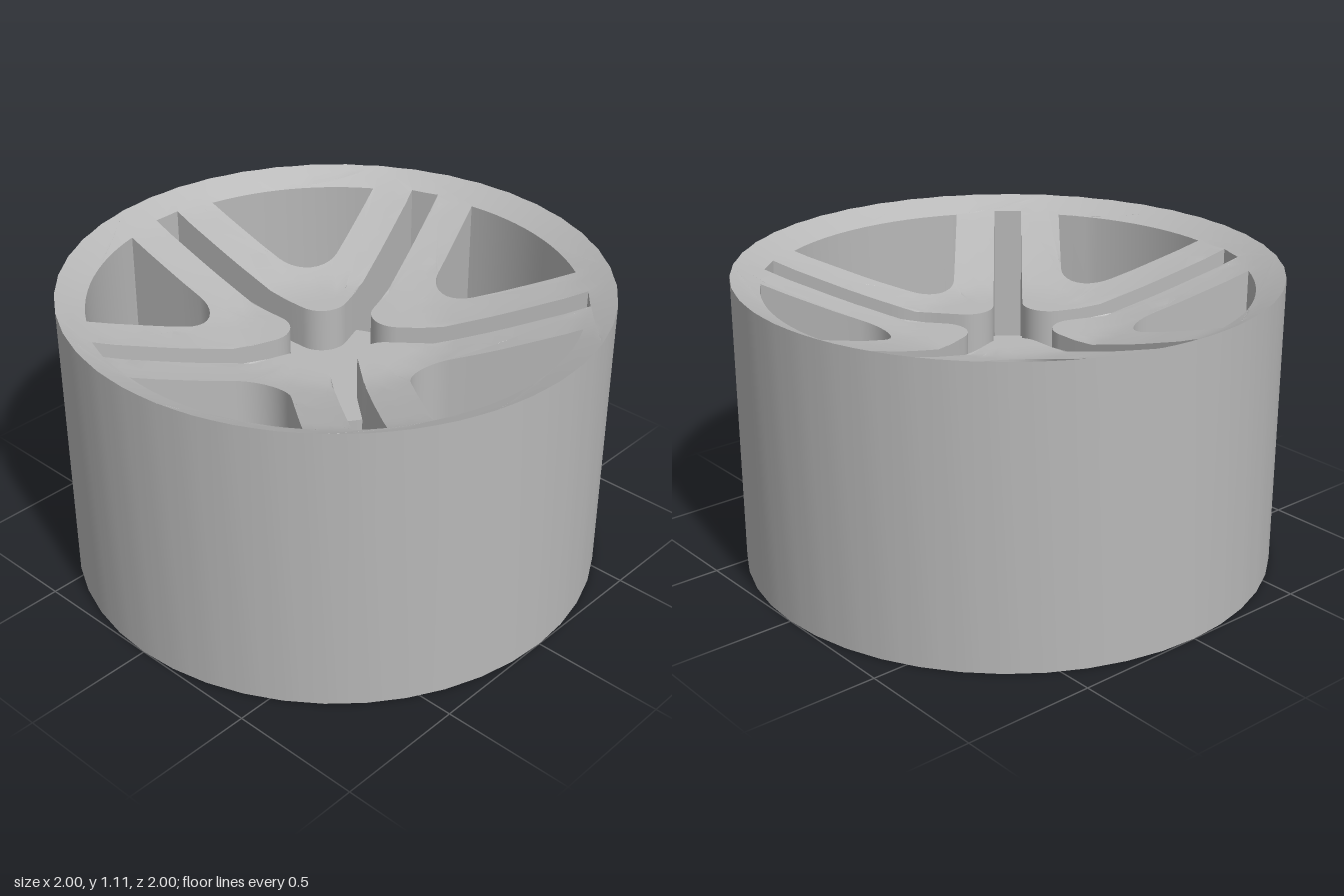
import * as THREE from 'three';
import { toCreasedNormals } from 'three/addons/utils/BufferGeometryUtils.js';

const rad = THREE.MathUtils.degToRad;

// Height of the dished face at each radius
const DISH = [[0, 0.89], [0.37, 0.89], [0.6, 0.955], [0.88, 1.047], [1, 1.108]];
const WINDOW_EDGE = 0.21;  // window side, measured from the slot axis
const WINDOW_R = 0.895;
const SLOT_HALF = 0.055;
const SLOT_END = 0.905;
const HUB_R = 0.33;
const HUB_TOP = 0.72;

// Gaps between the five slots: [middle angle, half angle]
const GAPS = [[0, 40], [75, 35], [145, 35], [215, 35], [285, 35]]
  .map(([m, h]) => [rad(m), rad(h)]);

function dishHeight(r) {
  for (let i = 1; i < DISH.length; i++) {
    const [r0, y0] = DISH[i - 1], [r1, y1] = DISH[i];
    if (r <= r1) return y0 + (y1 - y0) * (r - r0) / (r1 - r0);
  }
  return DISH[DISH.length - 1][1];
}

function arc(cx, radius, from, to, steps) {
  const points = [];
  for (let i = 0; i <= steps; i++) {
    const a = from + (to - from) * i / steps;
    points.push(new THREE.Vector2(cx + radius * Math.cos(a), radius * Math.sin(a)));
  }
  return points;
}

const turn = (points, angle) => points.map(p => p.rotateAround(new THREE.Vector2(), angle));

// Rounded corner between two lines offset from the slot axes on either side of a gap
function fillet(offset, radius, half) {
  return arc((offset + radius) / Math.sin(half), radius,
    Math.PI / 2 + half, Math.PI * 1.5 - half, 10);
}

// Large opening between two spoke pairs
function windowOutline([middle, half]) {
  const a = half - Math.asin(WINDOW_EDGE / WINDOW_R);
  return turn([...arc(0, WINDOW_R, -a, a, 12), ...fillet(WINDOW_EDGE, 0.14, half)], middle);
}

// Five narrow slots that meet in the middle
function starOutline() {
  return GAPS.flatMap(([middle, half]) => [
    ...turn([new THREE.Vector2(SLOT_END, -SLOT_HALF),
      new THREE.Vector2(SLOT_END, SLOT_HALF)], middle - half),
    ...turn(fillet(SLOT_HALF, 0.1, half).reverse(), middle),
  ]);
}

// Split triangles until every edge is short in plan, so the face can be bent
function subdivide(geometry, limit) {
  const p = geometry.attributes.position;
  const out = [];
  const stack = [];
  for (let i = 0; i < p.count; i += 3) {
    stack.push([0, 1, 2].map(k => new THREE.Vector3().fromBufferAttribute(p, i + k)));
  }
  while (stack.length) {
    const t = stack.pop();
    const lengths = t.map((v, k) => Math.hypot(v.x - t[(k + 1) % 3].x, v.y - t[(k + 1) % 3].y));
    const longest = Math.max(...lengths);
    if (longest <= limit) {
      t.forEach(v => out.push(v.x, v.y, v.z));
      continue;
    }
    const k = lengths.indexOf(longest);
    const a = t[k], b = t[(k + 1) % 3], c = t[(k + 2) % 3];
    const mid = a.clone().add(b).multiplyScalar(0.5);
    stack.push([a, mid, c], [mid, b, c]);
  }
  const result = new THREE.BufferGeometry();
  result.setAttribute('position', new THREE.Float32BufferAttribute(out, 3));
  return result;
}

function bodyGeometry() {
  const shape = new THREE.Shape(arc(0, 1, 0, Math.PI * 2, 44).slice(0, -1));
  shape.holes = [...GAPS.map(windowOutline), starOutline()].map(o => new THREE.Path(o));
  const extruded = new THREE.ExtrudeGeometry(shape, { depth: 1, bevelEnabled: false });
  const flat = extruded.index ? extruded.toNonIndexed() : extruded;
  const geometry = subdivide(flat, 0.1);
  // Stand it up and press the top into a shallow dish
  const p = geometry.attributes.position;
  for (let i = 0; i < p.count; i++) {
    const x = p.getX(i), y = p.getY(i);
    p.setXYZ(i, x, p.getZ(i) * dishHeight(Math.hypot(x, y)), -y);
  }
  geometry.computeVertexNormals();
  return toCreasedNormals(geometry, rad(28));
}

export function createModel() {
  const metal = new THREE.MeshStandardMaterial({ color: 0xb8b8b8 });
  metal.name = 'grey metal';

  const group = new THREE.Group();
  group.name = 'wheel';

  // Rim and spokes in one piece
  const body = new THREE.Mesh(bodyGeometry(), metal);
  body.name = 'rimAndSpokes';

  // Sunken floor where the slots meet
  const hub = new THREE.Mesh(new THREE.CylinderGeometry(HUB_R, HUB_R, HUB_TOP, 48), metal);
  hub.name = 'hub';
  hub.position.y = HUB_TOP / 2;

  group.add(body, hub);
  return group;
}
